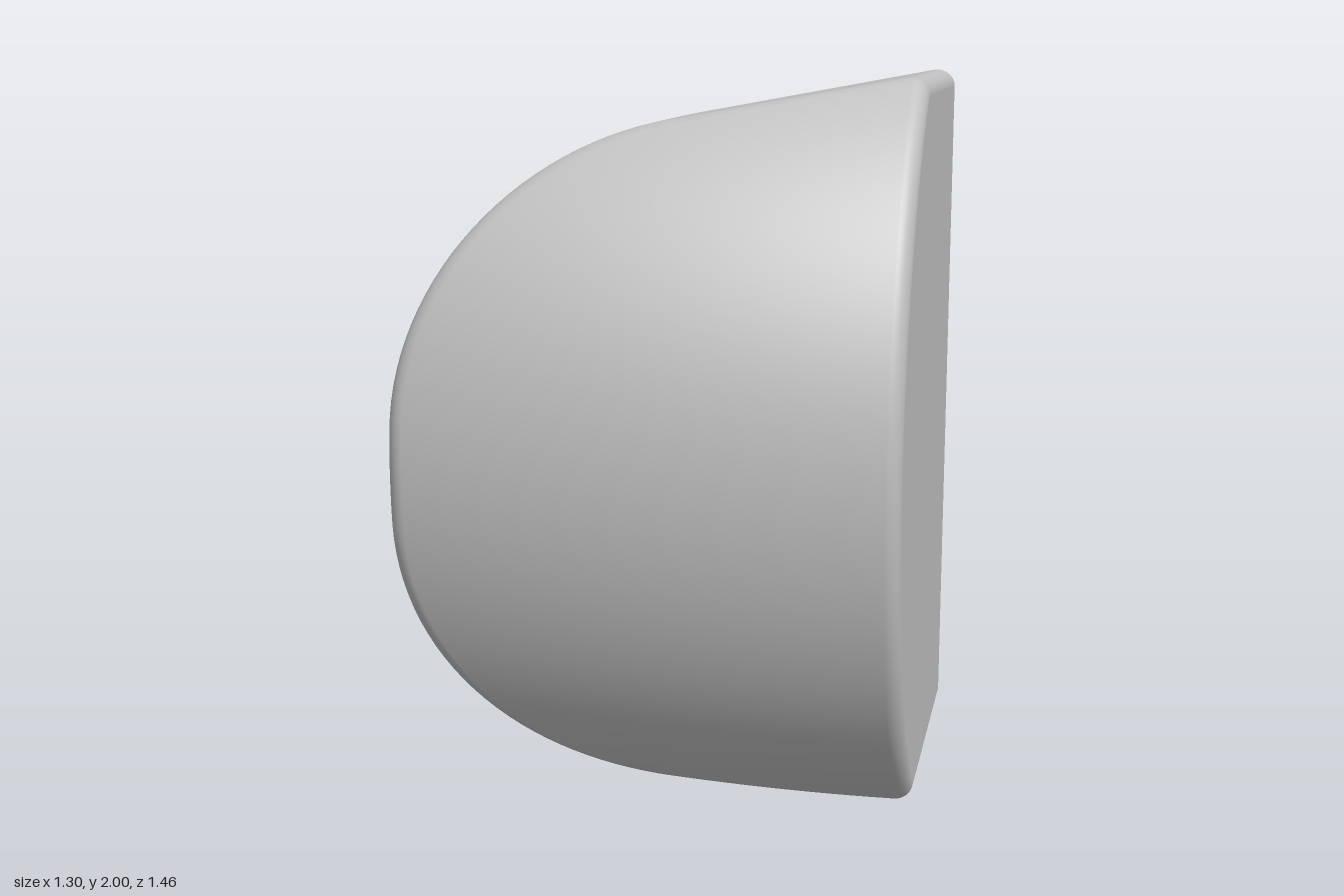
import * as THREE from 'three';

const FILLET = 0.05, HOLE_R = 0.07, HOLE_DEPTH = 0.4, HOLE_X = 0.13;
const backZ = x => -x - 0.08; // 45 degree back plane

// Domed front: gentle curve across x, tight curve across y
const domeZ = (x, y) => 0.73 - 0.123 * (x + 0.3) ** 2 - 1.22 + Math.sqrt(1.488 - (y - 1) ** 2);
const domeNormal = (x, y) =>
  new THREE.Vector3(0.246 * (x + 0.3), (y - 1) / Math.sqrt(1.488 - (y - 1) ** 2), 1).normalize();

// Counterclockwise outline with outward normals: four arcs joined by divided straight runs
function makeOutline() {
  const arcs = [
    [0.6, 0.05, 0.05, -100, 0, 10],
    [0.6, 1.95, 0.05, 0, 100, 10],
    [0.137, 1.12, 0.787, 100, 180, 28],
    [0.137, 0.88, 0.787, 180, 260, 28],
  ];
  const runs = [40, 16, 8, 16];
  const at = ([cx, cy, r], deg) => {
    const a = THREE.MathUtils.degToRad(deg), n = new THREE.Vector2(Math.cos(a), Math.sin(a));
    return { p: new THREE.Vector2(cx, cy).addScaledVector(n, r), n };
  };
  const out = [];
  arcs.forEach((arc, k) => {
    const [, , , from, to, steps] = arc;
    for (let i = 0; i <= steps; i++) out.push(at(arc, from + (to - from) * i / steps));
    const end = out[out.length - 1], next = arcs[(k + 1) % 4], start = at(next, next[3]);
    for (let i = 1; i < runs[k]; i++) {
      out.push({ p: end.p.clone().lerp(start.p, i / runs[k]), n: end.n });
    }
  });
  return out;
}

// Rings from the back edge, up the wall, round the fillet and over the dome
function makeShell(outline) {
  const ARC = 8, DOME = 28, rows = 2 + ARC + DOME;
  const pos = [], nor = [], index = [];
  const put = (p, n) => { pos.push(p.x, p.y, p.z); nor.push(n.x, n.y, n.z); };
  for (const { p, n } of outline) {
    const wallN = new THREE.Vector3(n.x, n.y, 0);
    const c = new THREE.Vector3(p.x - n.x * FILLET, p.y - n.y * FILLET, 0);
    let topN = domeNormal(c.x, c.y);
    for (let k = 0; k < 6; k++) topN = domeNormal(c.x + FILLET * topN.x, c.y + FILLET * topN.y);
    const q = c.clone().addScaledVector(topN, FILLET);
    c.z = domeZ(q.x, q.y) - FILLET * topN.z;
    put(new THREE.Vector3(p.x, p.y, backZ(p.x)), wallN);
    for (let i = 0; i <= ARC; i++) {
      const m = wallN.clone().lerp(topN, i / ARC).normalize();
      put(c.clone().addScaledVector(m, FILLET), m);
    }
    for (let i = 1; i <= DOME; i++) {
      const t = i / DOME;
      const x = q.x + (0.1 - q.x) * t, y = q.y + (1 - q.y) * t;
      put(new THREE.Vector3(x, y, domeZ(x, y)), domeNormal(x, y));
    }
  }
  for (let j = 0; j < outline.length; j++) {
    const a = j * rows, b = ((j + 1) % outline.length) * rows;
    for (let i = 0; i < rows - 1; i++) {
      index.push(a + i, b + i, b + i + 1);
      if (i < rows - 2) index.push(a + i, b + i + 1, a + i + 1);
    }
  }
  const g = new THREE.BufferGeometry();
  g.setAttribute('position', new THREE.Float32BufferAttribute(pos, 3));
  g.setAttribute('normal', new THREE.Float32BufferAttribute(nor, 3));
  g.setIndex(index);
  return g;
}

// Turn a geometry inside out
function flip(g) {
  const ix = g.index.array;
  for (let i = 0; i < ix.length; i += 3) [ix[i], ix[i + 1]] = [ix[i + 1], ix[i]];
  const n = g.attributes.normal.array;
  for (let i = 0; i < n.length; i++) n[i] = -n[i];
  return g;
}

// Slanted flat back with the hole opening
function makeBack(outline) {
  const shape = new THREE.Shape(outline.map(o => o.p));
  const hole = new THREE.Path();
  hole.absellipse(HOLE_X, 1, HOLE_R * Math.SQRT1_2, HOLE_R, 0, Math.PI * 2, true);
  shape.holes.push(hole);
  const g = flip(new THREE.ShapeGeometry(shape, 20));
  const p = g.attributes.position;
  for (let i = 0; i < p.count; i++) p.setZ(i, backZ(p.getX(i)));
  g.computeVertexNormals();
  return g;
}

export function createModel() {
  const group = new THREE.Group();
  group.name = 'wedgeBlock';
  const grey = new THREE.MeshStandardMaterial({ color: 0xbfbfbf });
  grey.name = 'grey';
  const add = (name, geometry) => {
    const mesh = new THREE.Mesh(geometry, grey);
    mesh.name = name;
    group.add(mesh);
    return mesh;
  };
  const outline = makeOutline();
  add('domedShell', makeShell(outline));
  add('slantedBack', makeBack(outline));

  // Blind hole square to the back plane
  const along = d => [HOLE_X + d * Math.SQRT1_2, 1, backZ(HOLE_X) + d * Math.SQRT1_2];
  const wall = flip(new THREE.CylinderGeometry(HOLE_R, HOLE_R, HOLE_DEPTH, 40, 1, true));
  wall.rotateX(Math.PI / 2).rotateY(Math.PI / 4);
  add('holeWall', wall).position.set(...along(HOLE_DEPTH / 2));
  const floor = new THREE.CircleGeometry(HOLE_R, 40).rotateY(Math.PI * 1.25);
  add('holeFloor', floor).position.set(...along(HOLE_DEPTH));
  return group;
}
